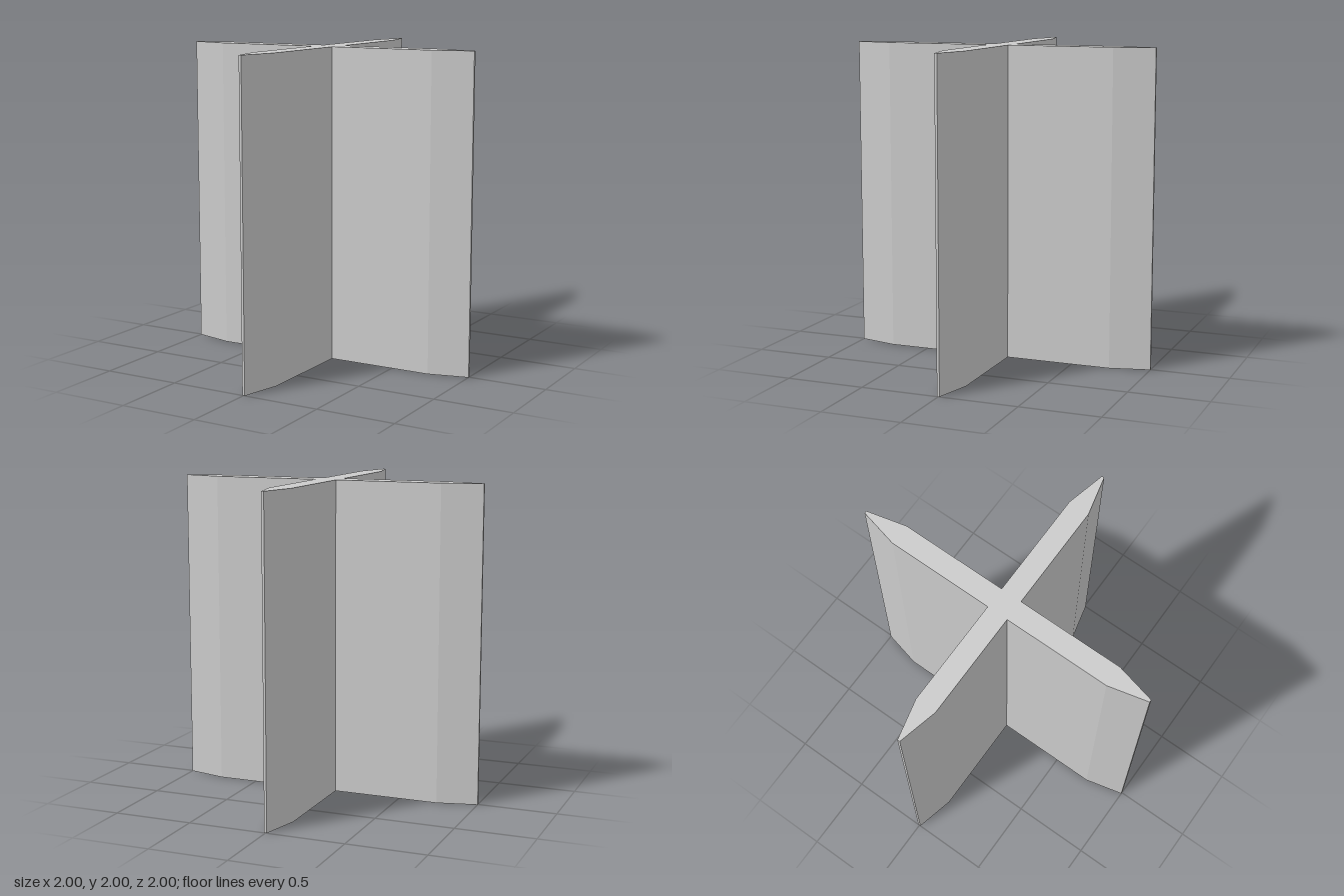
import * as THREE from 'three';

const HEIGHT = 2;
const HALF = 0.068; // half thickness of a blade
const TIP = 0.008; // half thickness of the blunt outer edge
const SHOULDER = 0.75; // where the taper starts
const REACH = 1;

// Plan outline: one tapered arm, repeated at quarter turns
function crossShape() {
  const arm = [
    [HALF, -HALF], [SHOULDER, -HALF], [REACH, -TIP], [REACH, TIP], [SHOULDER, HALF],
  ];
  const points = [];
  for (let i = 0; i < 4; i++) {
    for (const [x, y] of arm) {
      points.push(new THREE.Vector2(x, y).rotateAround(new THREE.Vector2(), i * Math.PI / 2));
    }
  }
  return new THREE.Shape(points);
}

export function createModel() {
  const group = new THREE.Group();
  group.name = 'crossedBlades';

  // Upright prism with the cross as its plan
  const geometry = new THREE.ExtrudeGeometry(crossShape(), { depth: HEIGHT, bevelEnabled: false });
  geometry.rotateX(-Math.PI / 2);
  const material = new THREE.MeshStandardMaterial({ color: 0xcccccc, flatShading: true });
  const blades = new THREE.Mesh(geometry, material);
  blades.name = 'blades';
  group.add(blades);

  return group;
}
